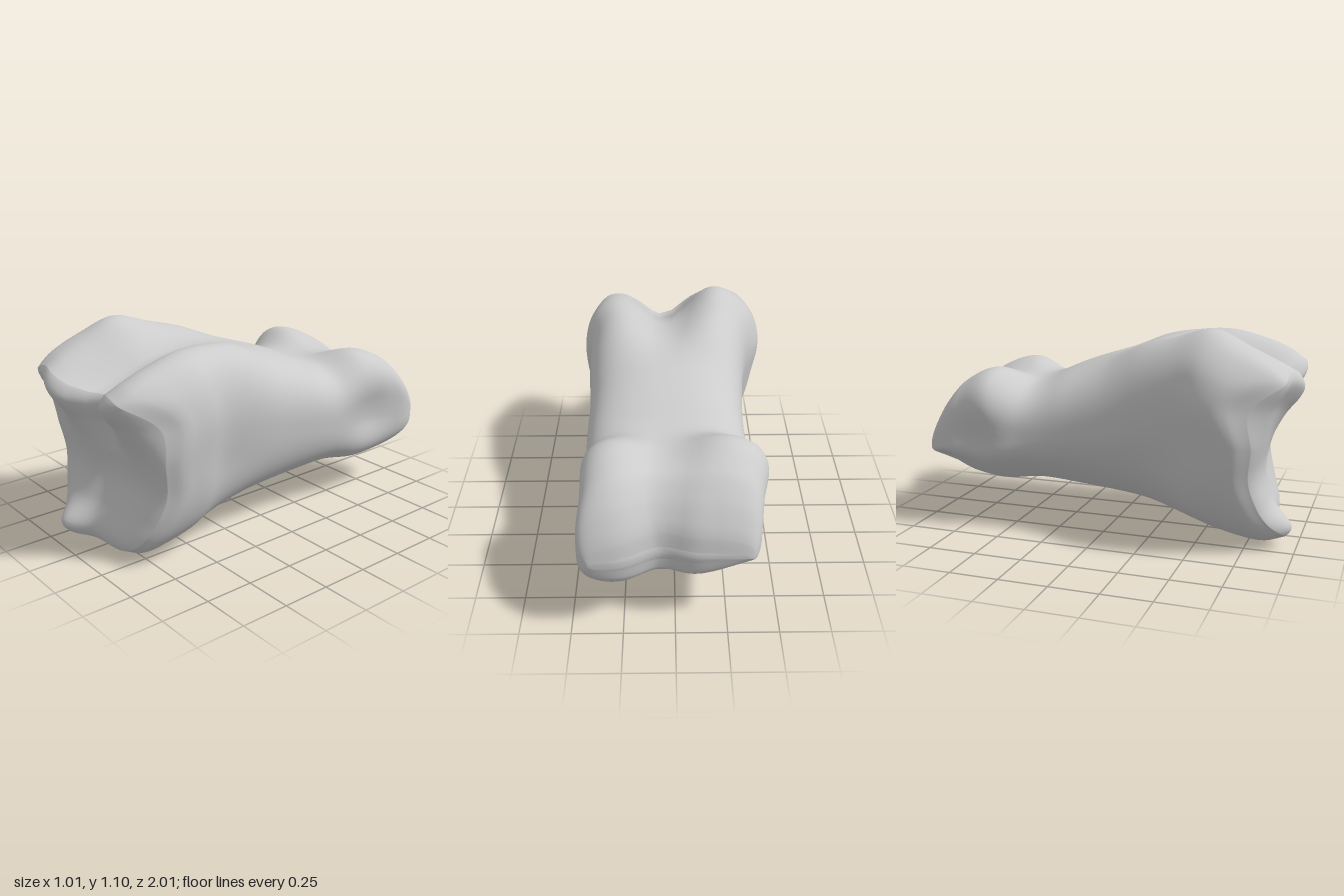
import * as THREE from 'three';

// Cross-section stations along z:
// z, min x, max x, top, bottom, squareness, top saddle, bottom groove, taper
const STATIONS = [
  [-1.00, -0.35, 0.40, 0.45, 0.38, 2.8, 0.00, 0.00, 0.00],
  [-0.99, -0.37, 0.42, 0.52, 0.32, 3.0, 0.00, 0.00, 0.00],
  [-0.96, -0.39, 0.45, 0.60, 0.27, 3.2, 0.01, 0.02, 0.00],
  [-0.90, -0.41, 0.465, 0.70, 0.23, 3.4, 0.03, 0.05, 0.00],
  [-0.80, -0.43, 0.46, 0.80, 0.19, 3.4, 0.06, 0.08, 0.00],
  [-0.60, -0.465, 0.465, 0.87, 0.17, 3.4, 0.10, 0.09, 0.02],
  [-0.40, -0.40, 0.46, 0.79, 0.195, 2.8, 0.01, 0.03, 0.06],
  [-0.20, -0.385, 0.465, 0.86, 0.18, 2.6, 0.00, 0.00, 0.10],
  [0.00, -0.39, 0.465, 0.935, 0.16, 2.6, 0.01, 0.00, 0.12],
  [0.20, -0.41, 0.48, 1.05, 0.13, 2.6, 0.09, 0.00, 0.15],
  [0.40, -0.45, 0.485, 1.09, 0.08, 2.6, 0.14, 0.00, 0.19],
  [0.60, -0.51, 0.52, 1.085, 0.035, 2.6, 0.17, 0.00, 0.22],
  [0.80, -0.54, 0.53, 1.04, 0.005, 2.6, 0.18, 0.00, 0.23],
  [0.92, -0.53, 0.525, 0.99, 0.00, 2.6, 0.16, 0.00, 0.23],
  [1.00, -0.485, 0.485, 0.94, 0.03, 2.6, 0.12, 0.00, 0.22],
];

// Depth of the concave front face by height: y, z
const FACE = [[0, 0.87], [0.1, 0.86], [0.25, 0.80], [0.4, 0.765], [0.55, 0.79],
  [0.7, 0.87], [0.8, 0.95], [0.86, 0.98], [1.1, 0.96]];

const smooth = (a, b, v) => THREE.MathUtils.smoothstep(v, a, b);
const bell = (v, centre, width) => Math.exp(-(((v - centre) / width) ** 2));

// Smooth (Hermite) lookup of column c in a table keyed by its first column
function sample(table, key, c) {
  const n = table.length - 1;
  const k = THREE.MathUtils.clamp(key, table[0][0], table[n][0]);
  let i = 0;
  while (i < n - 1 && k > table[i + 1][0]) i++;
  const slope = (j) => {
    const p = table[Math.max(j - 1, 0)], q = table[Math.min(j + 1, n)];
    return (q[c] - p[c]) / (q[0] - p[0]);
  };
  const h = table[i + 1][0] - table[i][0];
  const t = (k - table[i][0]) / h, t2 = t * t, t3 = t2 * t;
  return (2 * t3 - 3 * t2 + 1) * table[i][c] + (t3 - 2 * t2 + t) * h * slope(i)
    + (3 * t2 - 2 * t3) * table[i + 1][c] + (t3 - t2) * h * slope(i + 1);
}

// Front face: two sloping beaks with a valley between, a curved step and a low lip
function frontDepth(x, y) {
  const upper = smooth(0.5, 0.82, y);
  const tilt = upper * (0.08 * smooth(0.1, 0.35, Math.abs(x - 0.04)) - 0.05);
  return sample(FACE, y - tilt, 1)
    - 0.15 * upper * bell(x, 0.07, 0.12)
    - 0.12 * upper * smooth(0.36, 0.5, Math.abs(x))
    - 0.03 * upper * (smooth(0.05, 0.25, x) + smooth(0.15, 0.3, -x))
    - 0.025 * Math.tanh((x + 0.11 - 0.17 * y) / 0.05) * (1 - upper)
    + 0.07 * bell(x, -0.16, 0.09) * bell(y, 0.1, 0.09);
}

// One surface point; shrink < 1 moves it inward over an end cap
function surfacePoint(w, angle, shrink) {
  const [L, R, T, B, n, saddle, groove, taper] =
    [1, 2, 3, 4, 5, 6, 7, 8].map((c) => sample(STATIONS, w, c));
  const cx = (L + R) / 2, cy = (T + B) / 2;
  const front = smooth(0.1, 0.6, w);

  // Superellipse: shoulders squarer towards the front, one lower edge rounder
  const s = Math.sin(angle), c = Math.cos(angle);
  const lower = c > 0 ? 0.3 * front : -0.6 * (1 - front) - 0.1 * front;
  const power = 2 / (n + (s > 0 ? 0.6 * front : lower));
  const u = Math.sign(c) * Math.abs(c) ** power;
  const v = Math.sign(s) * Math.abs(s) ** power;
  const narrowing = taper + (u < 0 ? 0.02 : -0.06) * front;
  let x = cx + u * (R - L) / 2 * (1 - narrowing * smooth(-1, 1, -v));
  let y = cy + v * (T - B) / 2;

  // Saddle on top, groove below, and the taller knuckle on one side
  const up = smooth(0, 0.9, v), down = smooth(0, 0.9, -v);
  y -= saddle * up * bell(x, 0.04, 0.19);
  y += groove * down * bell(x, 0.07, 0.15);
  y += 0.05 * up * bell(x, -0.22, 0.15) * bell(w, 0.6, 0.16);

  // Underside rises towards one side along the shaft and rear head
  y += down * smooth(0, 0.4, -x) * (0.04 * (1 - front) + 0.05 * smooth(0.3, 0.6, -w) * smooth(0, 0.1, 1 + w));

  // Hollows in the sides of the rear head and along the shaft
  x -= u * 0.05 * bell(y, 0.47, 0.14) * bell(w, -0.65, 0.17);
  x -= u * 0.015 * bell(y, 0.45, 0.15) * bell(w, 0.35, 0.25);

  x = cx + (x - cx) * shrink;
  y = cy + (y - cy) * shrink;

  // Shape both ends lengthwise: concave front face, two rear condyles
  let z = w;
  z += (frontDepth(x, y) - 1) * smooth(0.3, 1, w);
  z += smooth(0.4, 1, -w) * (0.085 * bell(x, 0.08, 0.13) + 0.05 * smooth(-0.2, 0.2, -x));
  if (w === 1) z += 0.04 * (1 - shrink ** 8);
  if (w === -1) z -= 0.006 * (1 - shrink ** 2);
  return [x, y, z];
}

function boneGeometry() {
  const sides = 128, steps = 130, capRings = 24;
  const rings = [];
  // Rear cap, body, front cap as one run of rings
  for (let i = 0; i < capRings; i++) rings.push([-1, i / capRings]);
  for (let i = 0; i <= steps; i++) {
    const t = i / steps;
    rings.push([-Math.cos(Math.PI * t) * 0.75 + (2 * t - 1) * 0.25, 1]);
  }
  for (let i = capRings - 1; i >= 0; i--) rings.push([1, i / capRings]);
  rings[capRings][0] = -1;
  rings[capRings + steps][0] = 1;

  const positions = [], index = [];
  rings.forEach(([w, shrink], i) => {
    for (let j = 0; j < sides; j++) {
      positions.push(...surfacePoint(w, (j / sides) * Math.PI * 2, shrink));
      if (i === rings.length - 1) continue;
      const k = (j + 1) % sides;
      const a = i * sides + j, b = i * sides + k;
      index.push(a, b, b + sides, a, b + sides, a + sides);
    }
  });
  const geometry = new THREE.BufferGeometry();
  geometry.setAttribute('position', new THREE.Float32BufferAttribute(positions, 3));
  geometry.setIndex(index);
  geometry.computeVertexNormals();
  return geometry;
}

export function createModel() {
  const group = new THREE.Group();
  group.name = 'toeBone';
  const bone = new THREE.Mesh(boneGeometry(), new THREE.MeshStandardMaterial({ color: 0xcccccc }));
  bone.name = 'bone';
  group.add(bone);
  return group;
}
